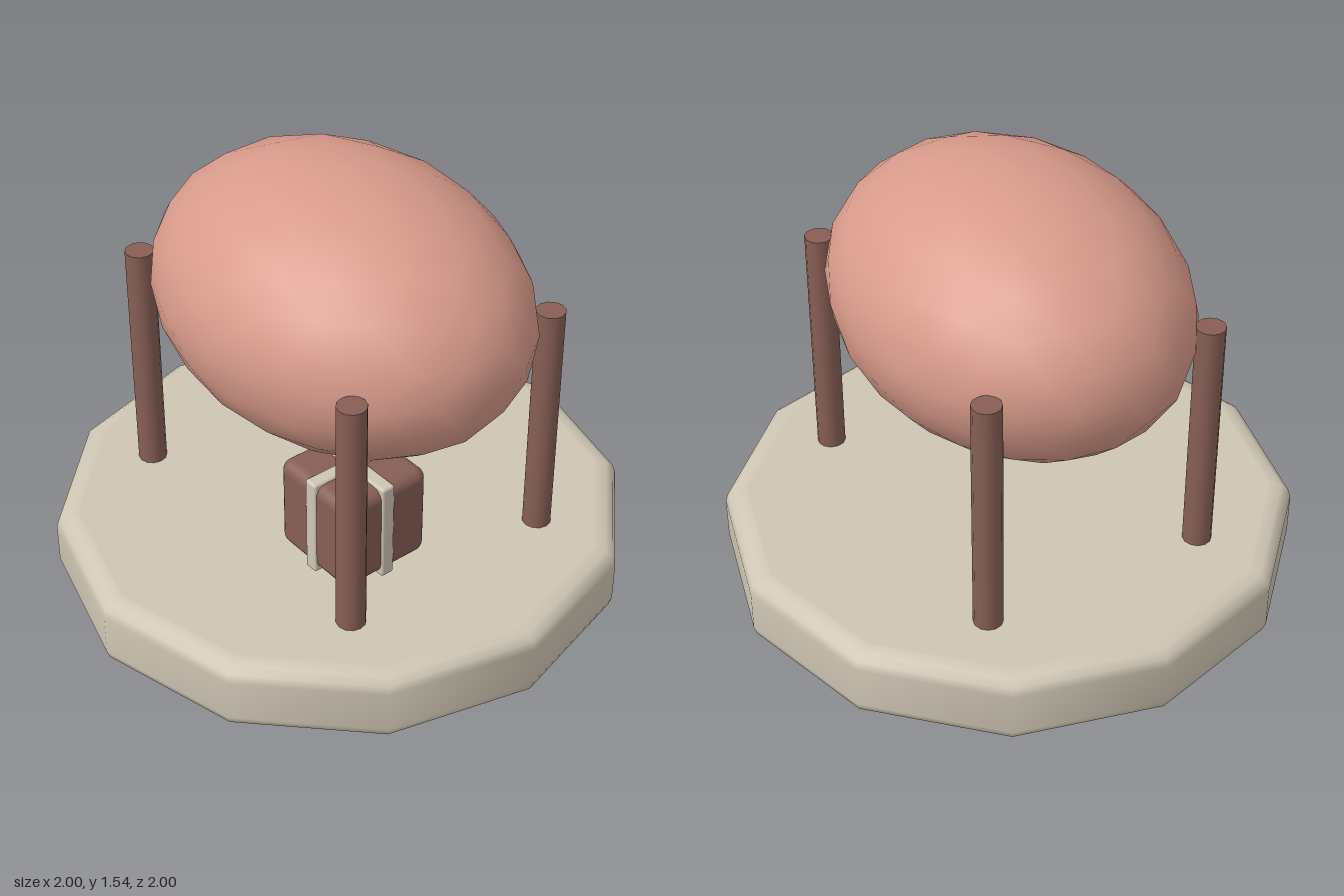
import * as THREE from 'three';
import { mergeVertices } from 'three/addons/utils/BufferGeometryUtils.js';
import { RoundedBoxGeometry } from 'three/addons/geometries/RoundedBoxGeometry.js';

// Unit sphere from an icosahedron halved twice, one corner pointing up
function icoSphere() {
  const source = new THREE.IcosahedronGeometry(1, 1).getAttribute('position');
  const out = [];
  const push = (...points) => points.forEach((p) => out.push(p.x, p.y, p.z));
  const middle = (a, b) => a.clone().add(b).normalize();
  for (let i = 0; i < source.count; i += 3) {
    const [a, b, c] = [0, 1, 2].map((k) => new THREE.Vector3().fromBufferAttribute(source, i + k));
    const ab = middle(a, b), bc = middle(b, c), ca = middle(c, a);
    push(a, ab, ca, ab, b, bc, ca, bc, c, ab, bc, ca);
  }
  const geometry = new THREE.BufferGeometry();
  geometry.setAttribute('position', new THREE.Float32BufferAttribute(out, 3));
  geometry.rotateZ(-Math.atan2(2, 1 + Math.sqrt(5)));
  return mergeVertices(geometry, 1e-4);
}

export function createModel() {
  const model = new THREE.Group();
  const material = (name, color) => new THREE.MeshStandardMaterial({ name, color });
  const stone = material('pale stone', 0xcfc6b4);
  const brown = material('dark brown', 0x875f55);
  const pink = material('salmon pink', 0xd99b8b);

  const add = (parent, name, geometry, mat, x = 0, y = 0, z = 0) => {
    const mesh = new THREE.Mesh(geometry, mat);
    mesh.name = name;
    mesh.position.set(x, y, z);
    parent.add(mesh);
    return mesh;
  };

  // Twelve-sided base with rounded rims
  const rim = [[0, 0], [0.92, 0], [0.93, 0], [0.965, 0.008], [0.99, 0.026], [1, 0.055]];
  const profile = [...rim, ...rim.map(([r, y]) => [r, 0.26 - y]).reverse()];
  add(model, 'base', new THREE.LatheGeometry(profile.map(([r, y]) => new THREE.Vector2(r, y)), 12), stone);

  // Egg-shaped body
  const egg = icoSphere().scale(0.74, 0.467, 0.567);
  egg.computeVertexNormals();
  add(model, 'body', egg, pink, 0, 1.075, 0);

  // Four posts
  const post = new THREE.CylinderGeometry(0.05, 0.05, 0.875, 12);
  for (const [front, sz] of [['front', 1], ['back', -1]]) {
    for (const [side, sx] of [['Left', 1], ['Right', -1]]) {
      add(model, `${front}${side}Post`, post, brown, sx * 0.565, 0.6875, sz * 0.412);
    }
  }

  // Gift box with two crossing ribbon bands
  const gift = new THREE.Group();
  gift.name = 'giftBox';
  gift.position.set(0.293, 0.454, 0.182);
  add(gift, 'box', new RoundedBoxGeometry(0.352, 0.346, 0.352, 3, 0.04), brown);
  const band = new RoundedBoxGeometry(0.052, 0.366, 0.366, 2, 0.01);
  add(gift, 'ribbonFrontToBack', band, stone);
  add(gift, 'ribbonSideToSide', band, stone).rotation.y = Math.PI / 2;
  model.add(gift);

  return model;
}
